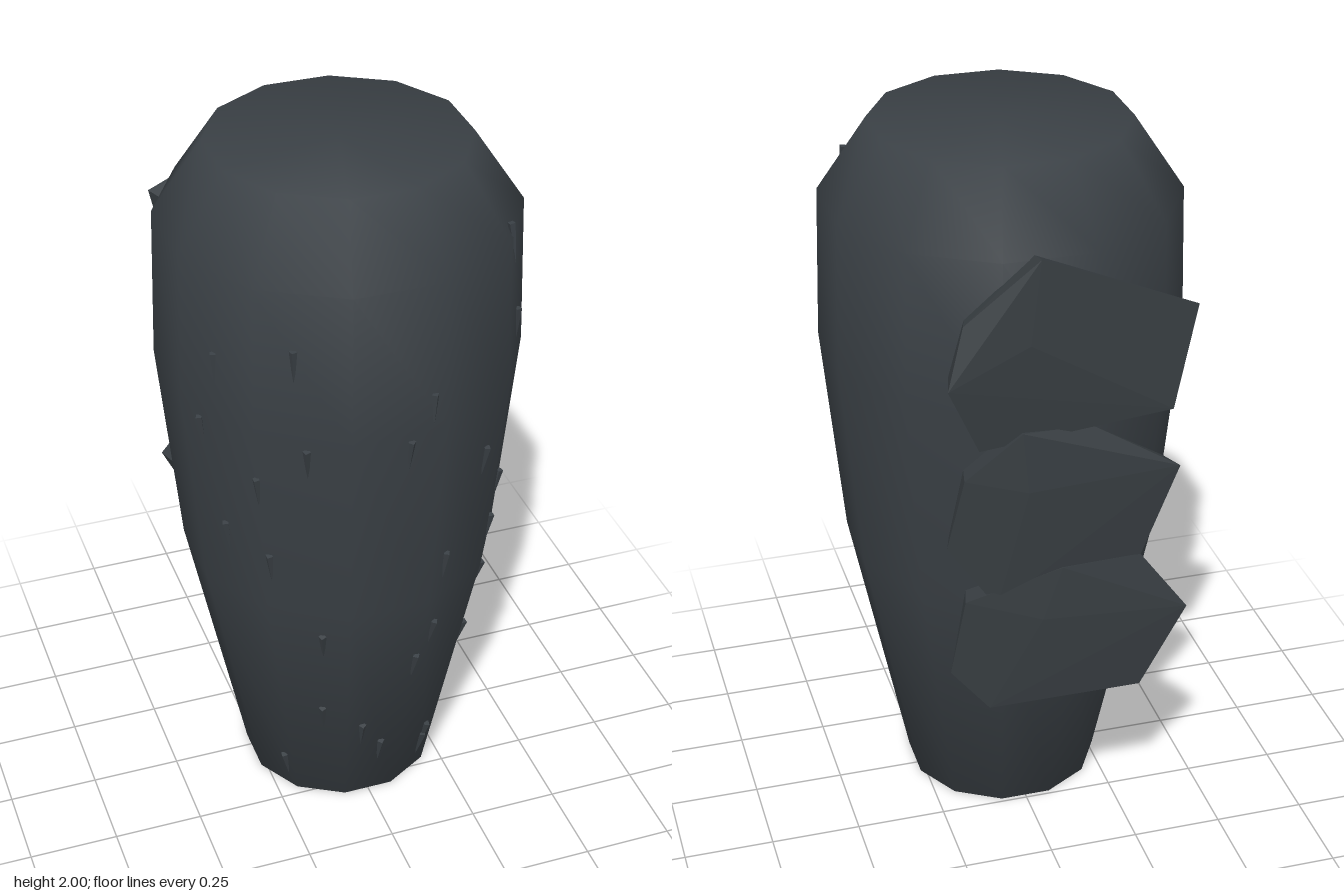
import * as THREE from 'three';
import { ConvexGeometry } from 'three/addons/geometries/ConvexGeometry.js';

const SIDES = 12, STEP = (Math.PI * 2) / SIDES, CENTRE_Z = 0.028;

// body profile: [radius, height]
const PROFILE = [[0.275, 0], [0.437, 0.78], [0.495, 1.38], [0.483, 1.8], [0.348, 2]];

function radiusAt(y) {
  for (let i = 1; i < PROFILE.length; i++) {
    const [r0, y0] = PROFILE[i - 1], [r1, y1] = PROFILE[i];
    if (y <= y1) return r0 + ((r1 - r0) * (y - y0)) / (y1 - y0);
  }
  return PROFILE[PROFILE.length - 1][0];
}

// distance from the axis to the faceted wall, for an angle measured from +z
function wallAt(angle, y) {
  const half = STEP / 2;
  const offset = angle - Math.round(angle / STEP) * STEP;
  return (radiusAt(y) * Math.cos(half)) / Math.cos(offset);
}

// back plates as outlines [x, y]
const PLATES = [
  [[0.285, 1.5], [0.24, 1.665], [0.045, 1.83], [-0.375, 1.65], [-0.31, 1.37], [0.2, 1.31]],
  [[0.245, 1.24], [0.288, 1.035], [0.16, 0.85], [-0.24, 0.93], [-0.335, 1.2], [-0.095, 1.345], [0.09, 1.355]],
  [[0.245, 0.877], [0.282, 0.65], [0.18, 0.53], [-0.25, 0.515], [-0.37, 0.76], [-0.24, 0.935], [-0.02, 0.94]],
];

// bristles on the front as [x, y] of their middles
const BRISTLES = [
  [-0.26, 1.58], [-0.23, 1.29], [-0.33, 1.18], [-0.39, 0.97], [-0.3, 0.92], [-0.17, 0.64],
  [-0.15, 0.33], [-0.04, 0.25], [0.02, 0.16], [0.18, 0.12], [0.16, 0.87], [0.14, 0.62],
  [0.09, 0.51], [0.09, 1.43], [0.03, 1.3], [0.28, 1.16], [0.34, 0.86], [0.34, 0.66],
  [0.29, 0.46], [0.36, 1.78], [0.42, 1.48], [-0.44, 1.3], [-0.42, 1.51], [-0.22, 0.08],
  [0.4, 0.94], [0.17, 0.08],
];

function plateGeometry(outline) {
  const cx = outline.reduce((s, p) => s + p[0], 0) / outline.length;
  const cy = outline.reduce((s, p) => s + p[1], 0) / outline.length;
  const points = [];
  outline.forEach(([x, y], i) => {
    const at = (k, z) => points.push(new THREE.Vector3(cx + (x - cx) * k, cy + (y - cy) * k, z));
    at(1, i % 2 ? -0.485 : -0.505);
    at(0.93, -0.432);
  });
  points.push(new THREE.Vector3(cx + 0.06, cy + 0.05, -0.515));
  return new ConvexGeometry(points);
}

export function createModel() {
  const group = new THREE.Group();
  const charcoal = new THREE.MeshStandardMaterial({ color: 0x3a4045 });
  charcoal.name = 'charcoal';
  const slate = new THREE.MeshStandardMaterial({ color: 0x373d41 });
  slate.name = 'slate';

  const add = (name, geometry, material, parent = group) => {
    const mesh = new THREE.Mesh(geometry, material);
    mesh.name = name;
    parent.add(mesh);
    return mesh;
  };

  // tapered trunk with smooth shading and closed ends
  const points = [[0, 0], ...PROFILE, [0, 2]].map(([r, y]) => new THREE.Vector2(r, y));
  add('body', new THREE.LatheGeometry(points, SIDES, STEP / 2), charcoal).position.z = CENTRE_Z;

  // stacked faceted plates on the back
  const plates = new THREE.Group();
  plates.name = 'backPlates';
  group.add(plates);
  PLATES.forEach((outline) => add('backPlate', plateGeometry(outline), slate, plates));

  // thin bristles, points down, lying along the wall with their wide ends lifted
  const bristles = new THREE.Group();
  bristles.name = 'bristles';
  group.add(bristles);
  const bristle = new THREE.ConeGeometry(0.011, 0.12, 4).rotateX(Math.PI).toNonIndexed();
  bristle.computeVertexNormals();
  for (const [x, y] of BRISTLES) {
    const angle = Math.asin(x / Math.max(radiusAt(y) * 0.98, Math.abs(x)));
    const r = wallAt(angle, y);
    const slope = (radiusAt(y + 0.05) - radiusAt(y - 0.05)) / 0.1;
    const mesh = add('bristle', bristle, charcoal, bristles);
    mesh.position.set(Math.sin(angle) * r, y, CENTRE_Z + Math.cos(angle) * r);
    mesh.rotation.set(Math.atan(slope) + 0.07, angle, 0, 'YXZ');
  }
  return group;
}
